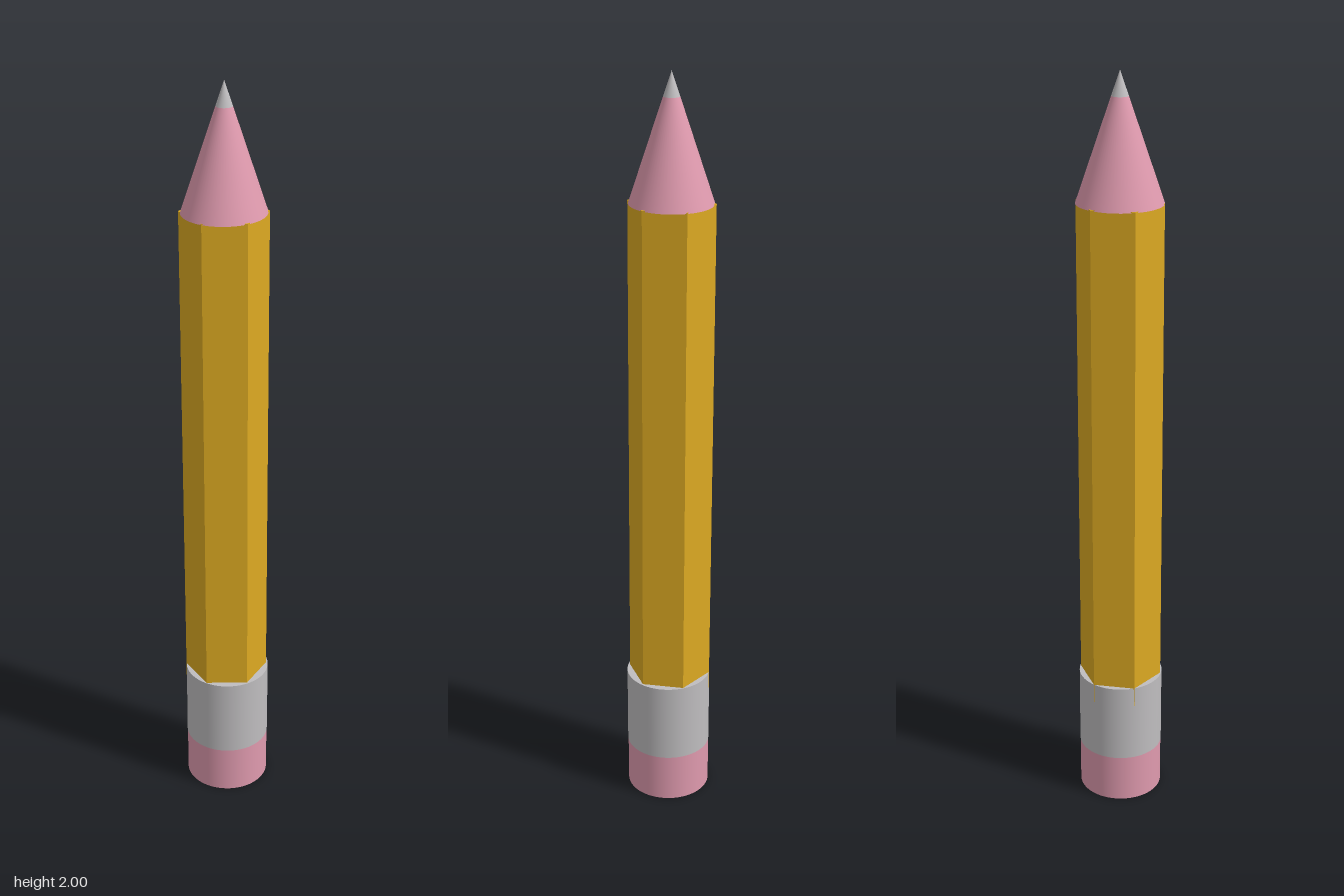
import * as THREE from 'three';

export function createModel() {
  const group = new THREE.Group();
  group.name = 'pencil';
  const makeMaterial = (name, color) => {
    const material = new THREE.MeshStandardMaterial({ color });
    material.name = name;
    return material;
  };
  const yellow = makeMaterial('yellow paint', 0xdca922);
  const pink = makeMaterial('pink', 0xdf9aae);
  const grey = makeMaterial('silver grey', 0xbfbdbf);

  const add = (name, geometry, material) => {
    const mesh = new THREE.Mesh(geometry, material);
    mesh.name = name;
    group.add(mesh);
    return mesh;
  };
  // Upright round or many-sided section between two heights
  const section = (rTop, rBottom, y0, y1, sides, open = false) =>
    new THREE.CylinderGeometry(rTop, rBottom, y1 - y0, sides, 1, open).translate(0, (y0 + y1) / 2, 0);

  // Eraser and the metal band that holds it
  add('eraser', section(0.113, 0.113, 0, 0.135, 64), pink);
  add('ferrule', section(0.114, 0.114, 0.135, 0.355, 64), grey);

  // Six-sided shaft with corners to front and back, leaning slightly to -x
  const shaft = section(0.112, 0.112, 0.3, 1.68, 6).toNonIndexed();
  const lean = new THREE.Matrix4().makeShear(0, 0, -0.0045, 0, 0, 0);
  lean.set(1, -0.0045, 0, -0.0015, 0, 1, 0, 0, 0, 0, 1, 0, 0, 0, 0, 1);
  shaft.applyMatrix4(lean);
  shaft.computeVertexNormals();
  add('shaft', shaft, yellow);

  // Sharpened cone, with its underside overhanging the flats, and the lead
  const cone = section(0.0215, 0.111, 1.677, 1.938, 64);
  const lead = section(0, 0.0215, 1.938, 2, 64, true);
  for (const [name, geometry, material] of [['sharpenedCone', cone, pink], ['lead', lead, grey]]) {
    const mesh = add(name, geometry, material);
    mesh.scale.x = 0.965;
    mesh.position.x = -0.0085;
  }
  return group;
}
